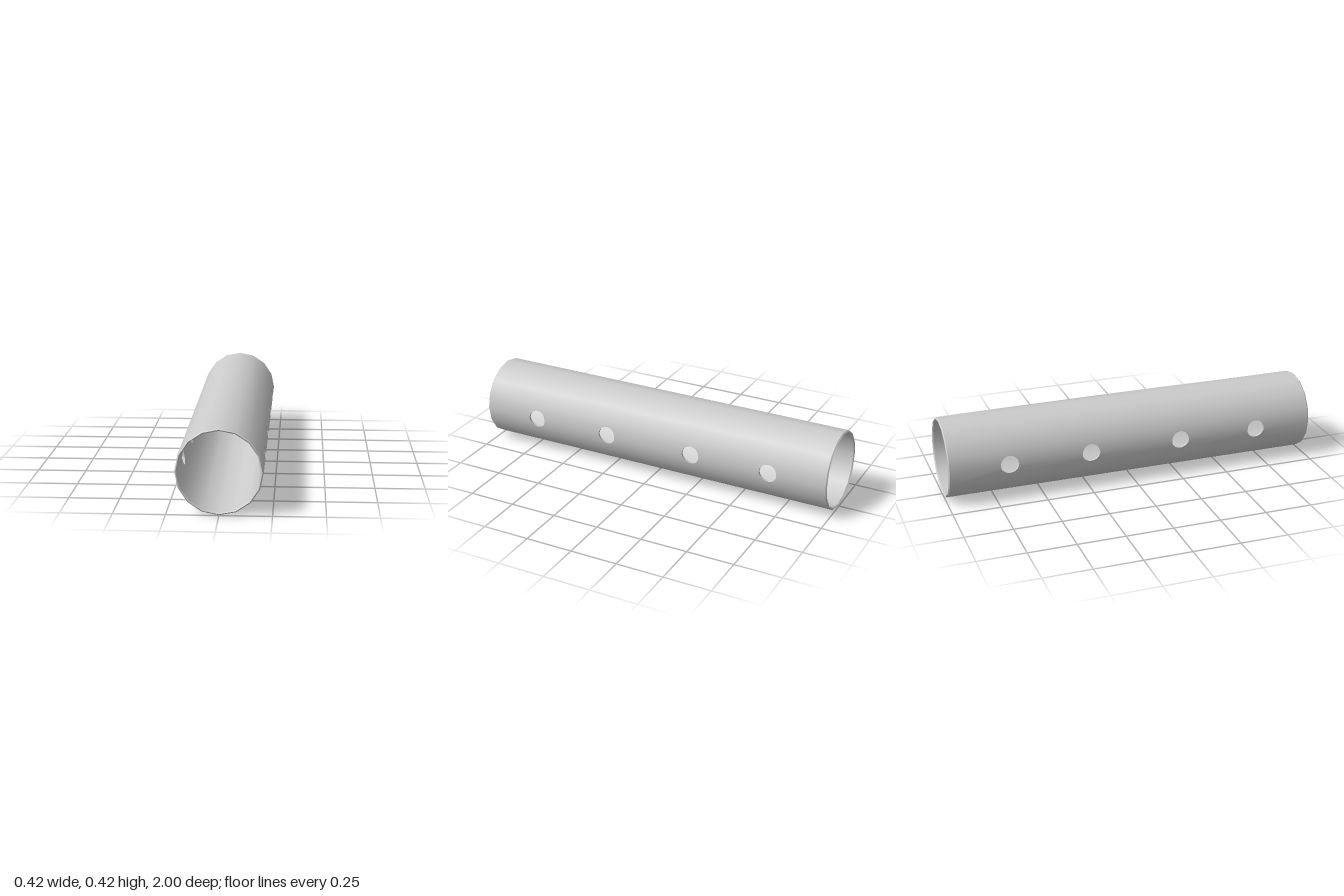
import * as THREE from 'three';

const SIDES = 16;
const STEP = (Math.PI * 2) / SIDES;
const OUTER = 0.208, INNER = 0.196; // tube radii
const BEVEL = 0.006;                // rim bevel
const WALL_END = 1 - BEVEL;         // half length of the straight walls
const HOLE_R = 0.048, HOLE_SIDES = 20;
const HOLES = [-0.683, -0.248, 0.248, 0.683];

// depth lost while moving away from the side crease along a facet
const slope = Math.tan(STEP / 2);

// band of revolution around z between two (radius, z) points
function band(a, b, segments = SIDES, start = 0) {
  const points = [new THREE.Vector2(...a), new THREE.Vector2(...b)];
  return new THREE.LatheGeometry(points, segments, start, segments * STEP).rotateX(Math.PI / 2);
}

// one long facet next to the side crease, with half holes cut in its edge
function sidePanel(radius, sx, sy, inward) {
  const height = radius * Math.sin(STEP);
  const shape = new THREE.Shape();
  shape.moveTo(-WALL_END, 0);
  for (const c of HOLES) {
    for (let i = 0; i <= HOLE_SIDES / 2; i++) {
      const a = Math.PI - (i / HOLE_SIDES) * Math.PI * 2;
      shape.lineTo(c + HOLE_R * Math.cos(a), HOLE_R * Math.sin(a));
    }
  }
  shape.lineTo(WALL_END, 0);
  shape.lineTo(WALL_END, height);
  shape.lineTo(-WALL_END, height);
  shape.closePath();

  const geometry = new THREE.ShapeGeometry(shape);
  const { position, normal } = geometry.attributes;
  const n = inward ? -1 : 1;
  for (let i = 0; i < position.count; i++) {
    const z = position.getX(i), v = position.getY(i);
    const a = (v / height) * STEP;
    position.setXYZ(i, sx * (radius - v * slope), sy * v, z);
    normal.setXYZ(i, n * sx * Math.cos(a), n * sy * Math.sin(a), 0);
  }
  if (sx * sy * n > 0) geometry.index.array.reverse();
  return geometry;
}

// wall of a hole between the outer and inner surfaces
function holeWall(sx, z) {
  const geometry = new THREE.CylinderGeometry(HOLE_R, HOLE_R, 1, HOLE_SIDES, 1, true)
    .rotateZ(Math.PI / 2).translate(0, 0, z);
  const p = geometry.attributes.position;
  for (let i = 0; i < p.count; i++) {
    const radius = p.getX(i) > 0 ? OUTER : INNER;
    p.setX(i, sx * (radius - Math.abs(p.getY(i)) * slope));
  }
  return geometry;
}

export function createModel() {
  const model = new THREE.Group();
  model.name = 'perforatedTube';
  const material = new THREE.MeshStandardMaterial({ color: 0xcccccc });
  const wallMaterial = new THREE.MeshStandardMaterial({ color: 0xcccccc, side: THREE.DoubleSide });
  const add = (name, geometry, mat = material) => {
    const mesh = new THREE.Mesh(geometry, mat);
    mesh.name = name;
    model.add(mesh);
  };

  // solid lower and upper walls
  for (const [name, start] of [['lower', -3 * STEP], ['upper', 5 * STEP]]) {
    add(name + 'OuterWall', band([OUTER, -WALL_END], [OUTER, WALL_END], 6, start));
    add(name + 'InnerWall', band([INNER, WALL_END], [INNER, -WALL_END], 6, start));
  }

  // pierced side walls and their holes
  for (const sx of [1, -1]) {
    const side = sx > 0 ? 'left' : 'right';
    for (const sy of [1, -1]) {
      add(side + 'OuterPanel', sidePanel(OUTER, sx, sy, false));
      add(side + 'InnerPanel', sidePanel(INNER, sx, sy, true));
    }
    for (const z of HOLES) add(side + 'HoleWall', holeWall(sx, z), wallMaterial);
  }

  // bevelled rims
  const middle = (OUTER + INNER) / 2;
  add('frontRimOuter', band([OUTER, WALL_END], [middle, 1]));
  add('frontRimInner', band([middle, 1], [INNER, WALL_END]));
  add('backRimInner', band([INNER, -WALL_END], [middle, -1]));
  add('backRimOuter', band([middle, -1], [OUTER, -WALL_END]));

  for (const part of model.children) part.position.y = OUTER;
  return model;
}
